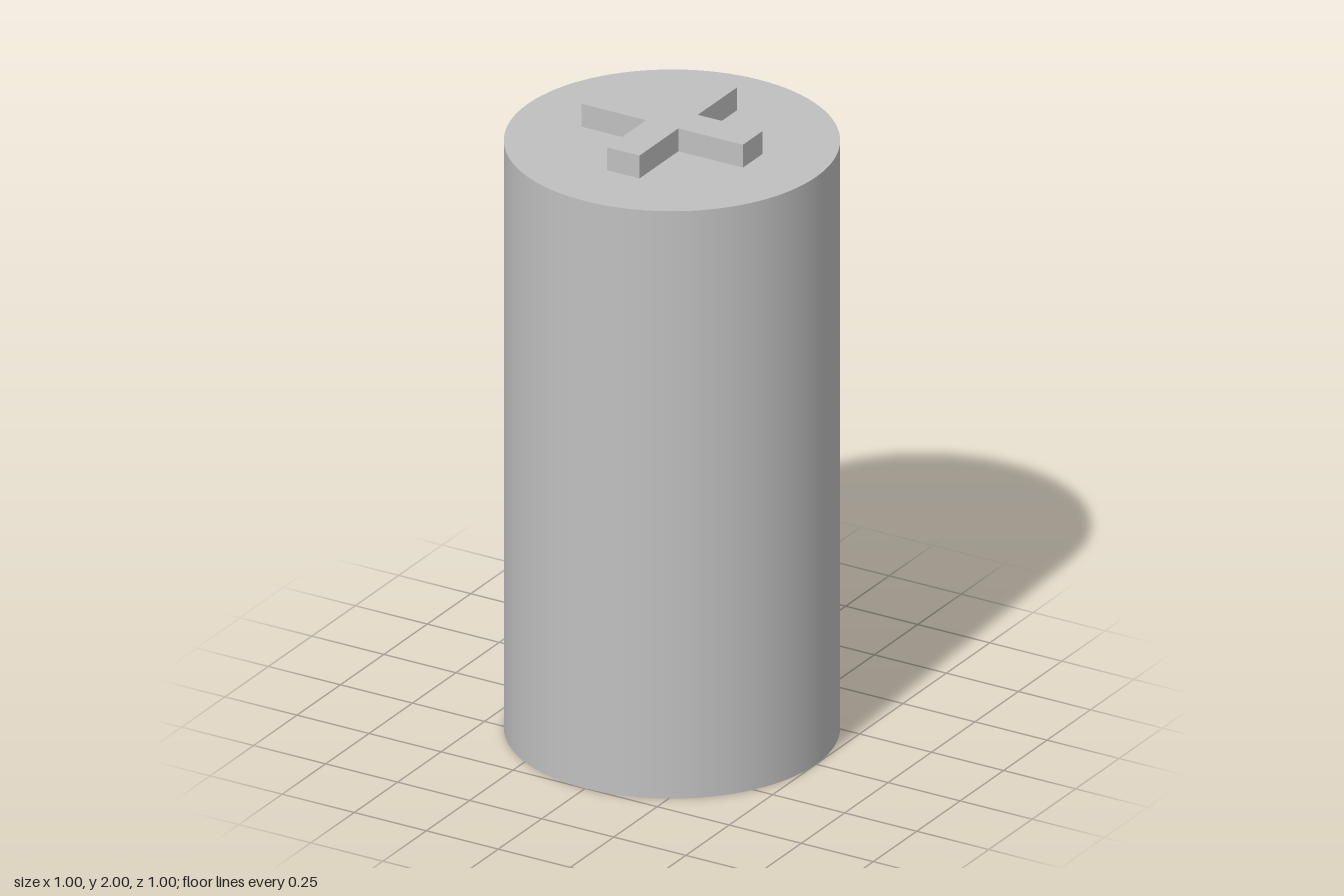
import * as THREE from 'three';

const RADIUS = 0.5;
const BODY_HEIGHT = 1.925;
const CROSS_HEIGHT = 0.075;
const ARM = 0.28; // reach of each cross arm from the axis
const HALF = 0.056; // half the width of an arm

// Plus-shaped outline, one arm per quarter turn
function crossShape() {
  const points = [];
  for (let i = 0; i < 4; i++) {
    const turn = (i * Math.PI) / 2;
    for (const [x, y] of [[ARM, -HALF], [ARM, HALF], [HALF, HALF]]) {
      points.push(new THREE.Vector2(x, y).rotateAround(new THREE.Vector2(), turn));
    }
  }
  return new THREE.Shape(points);
}

export function createModel() {
  const model = new THREE.Group();
  model.name = 'cylinderWithCross';

  const grey = new THREE.MeshStandardMaterial({ color: 0xc0c0c0 });
  grey.name = 'light grey';

  // Smooth cylindrical body
  const body = new THREE.Mesh(new THREE.CylinderGeometry(RADIUS, RADIUS, BODY_HEIGHT, 96), grey);
  body.name = 'body';
  body.position.y = BODY_HEIGHT / 2;
  model.add(body);

  // Raised cross on the top face
  const crossGeometry = new THREE.ExtrudeGeometry(crossShape(), { depth: CROSS_HEIGHT, bevelEnabled: false });
  crossGeometry.rotateX(-Math.PI / 2);
  const cross = new THREE.Mesh(crossGeometry, grey);
  cross.name = 'raisedCross';
  cross.position.y = BODY_HEIGHT;
  model.add(cross);

  return model;
}
